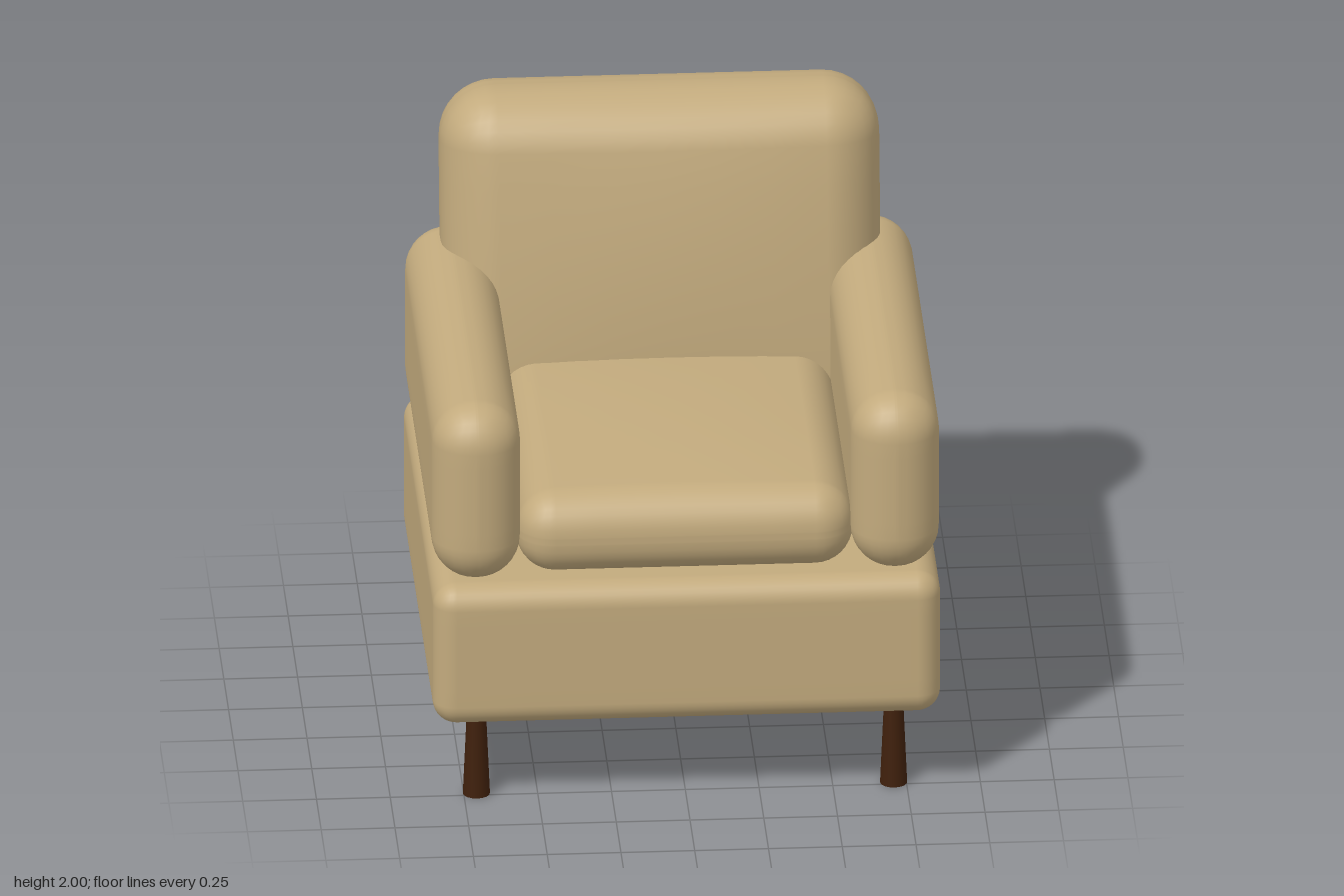
import * as THREE from 'three';
import { mergeVertices } from 'three/addons/utils/BufferGeometryUtils.js';

const ROUND = 4; // segments across each rounded edge
const FLAT = 6;  // segments across each flat span

// Upholstered block: rounded edges, with optional bulge of the +y or +z face
function padGeometry(w, h, d, r, crownAxis = null, crown = 0) {
  const n = FLAT + 2 * ROUND;
  const inner = FLAT / n;
  const geo = new THREE.BoxGeometry(2, 2, 2, n, n, n);
  geo.deleteAttribute('uv');
  geo.deleteAttribute('normal');
  const pos = geo.attributes.position;
  const core = new THREE.Vector3(w / 2 - r, h / 2 - r, d / 2 - r);
  const p = new THREE.Vector3();
  const dir = new THREE.Vector3();
  const bend = (u) => Math.sign(u) *
    Math.tan(Math.max(0, (Math.abs(u) - inner) / (1 - inner)) * Math.PI / 4);
  const span = (u) => THREE.MathUtils.clamp(u / inner, -1, 1);

  for (let i = 0; i < pos.count; i++) {
    p.fromBufferAttribute(pos, i);
    dir.set(bend(p.x), bend(p.y), bend(p.z)).normalize();
    p.set(span(p.x), span(p.y), span(p.z)).multiply(core).addScaledVector(dir, r);
    if (crownAxis) {
      // Swell fades to nothing at the border of the crowned face
      const a = p.x / (w / 2);
      const b = crownAxis === 'y' ? p.z / (d / 2) : p.y / (h / 2);
      const facing = Math.max(0, dir[crownAxis]);
      p[crownAxis] += crown * facing * (1 - a * a) * (1 - b * b);
    }
    pos.setXYZ(i, p.x, p.y, p.z);
  }
  const merged = mergeVertices(geo, 1e-5);
  merged.computeVertexNormals();
  return merged;
}

export function createModel() {
  const chair = new THREE.Group();
  chair.name = 'armchair';

  const fabric = new THREE.MeshStandardMaterial({ color: 0xc2aa7d });
  fabric.name = 'tan fabric';
  const wood = new THREE.MeshStandardMaterial({ color: 0x3f200c });
  wood.name = 'dark wood';

  const add = (name, geometry, material, x, y, z) => {
    const mesh = new THREE.Mesh(geometry, material);
    mesh.name = name;
    mesh.position.set(x, y, z);
    chair.add(mesh);
    return mesh;
  };

  // Base block
  add('base', padGeometry(1.72, 0.515, 1.68, 0.08), fabric, 0, 0.5625, 0.045);

  // Seat cushion with a gently domed top
  add('seatCushion', padGeometry(1.14, 0.29, 1.4, 0.13, 'y', 0.035), fabric, 0, 0.965, 0.13);

  // Reclined back cushion, swollen towards the sitter
  const back = add('backCushion', padGeometry(1.49, 1.18, 0.44, 0.19, 'z', 0.05),
    fabric, 0, 1.41, -0.592);
  back.rotation.x = -0.155;

  // Arms
  const armGeo = padGeometry(0.3, 0.645, 1.68, 0.145);
  for (const [side, s] of [['left', 1], ['right', -1]]) {
    add(side + 'Arm', armGeo, fabric, 0.71 * s, 1.1425, 0.045);
  }

  // Legs, slightly wider at the foot
  const legGeo = new THREE.CylinderGeometry(0.031, 0.046, 0.34, 16);
  for (const [side, s] of [['Left', 1], ['Right', -1]]) {
    add('front' + side + 'Leg', legGeo, wood, 0.707 * s, 0.17, 0.733);
    add('back' + side + 'Leg', legGeo, wood, 0.707 * s, 0.17, -0.643);
  }
  return chair;
}
